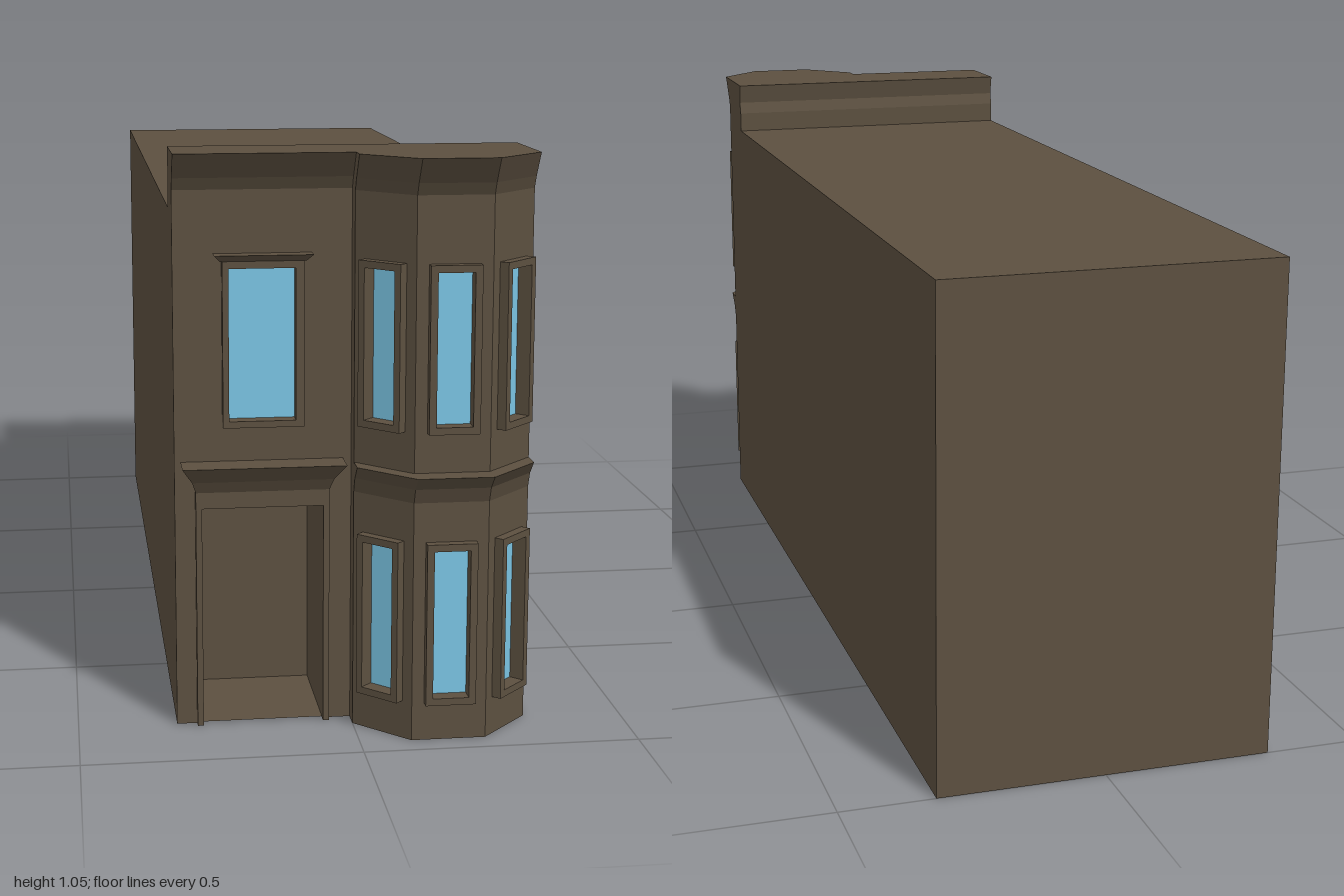
import * as THREE from 'three';

const stone = new THREE.MeshStandardMaterial({ color: 0x5c5040 });
const glass = new THREE.MeshStandardMaterial({ color: 0x7ac3e2 });
const W = 0.32, BACK = -1, ROOF = 0.94, TOP = 1.05, WALL_Z = 0.825;

// front outline on the ground, left to right: flat wall, then the bay
const front = [[-W, WALL_Z], [0, WALL_Z], [0, 0.86], [0.093, 0.955], [0.228, 0.955], [W, 0.86]];
// moulding profiles: [forward offset, height]
const topCornice = [[0, 0.983], [0.012, 1.005], [0.045, TOP]];
const midCornice = [[0, 0.44], [0.013, 0.468], [0.041, 0.494], [0, 0.494]];
const parapetBack = [[0.717, ROOF], [0.716, 0.983], [0.724, 1.008], [0.715, TOP]];

function mesh(name, geometry, material = stone) {
  const m = new THREE.Mesh(geometry, material);
  m.name = name;
  return m;
}

const shapeOf = (pts) => new THREE.Shape(pts.map(([x, y]) => new THREE.Vector2(x, y)));
const rect = (x0, y0, x1, y1) => [[x0, y0], [x1, y0], [x1, y1], [x0, y1]];

function holed(outer, holes) {
  const s = shapeOf(outer);
  holes.forEach((h) => s.holes.push(shapeOf(h)));
  return s;
}

// flat-shaded skin over rows of points, rows bottom to top, columns left to right
function loft(name, rows) {
  const pos = [];
  for (let i = 0; i < rows.length - 1; i++) {
    for (let j = 0; j < rows[i].length - 1; j++) {
      const a = rows[i][j], b = rows[i][j + 1], c = rows[i + 1][j + 1], d = rows[i + 1][j];
      pos.push(...a, ...b, ...c, ...a, ...c, ...d);
    }
  }
  const g = new THREE.BufferGeometry();
  g.setAttribute('position', new THREE.Float32BufferAttribute(pos, 3));
  g.computeVertexNormals();
  return mesh(name, g);
}

// moulding that pushes a ground path forward along a profile
const moulding = (name, path, profile) =>
  loft(name, profile.map(([d, y]) => path.map(([x, z]) => [x, y, z + d])));

// three-sided hood on the flat wall; profile: [sideways, forward, height]
function hood(name, x0, x1, z, profile) {
  const rows = profile.map(([s, d, y]) => [
    [x0 - s, y, WALL_Z], [x0 - s, y, z + d], [x1 + s, y, z + d], [x1 + s, y, WALL_Z]]);
  const last = profile[profile.length - 1];
  rows.push([x0 - last[0], x0 - last[0], x1 + last[0], x1 + last[0]].map((x) => [x, last[2], WALL_Z]));
  const first = rows[0].map(([x, y]) => [x, y, WALL_Z]);
  return loft(name, [first, ...rows]);
}

// raised frame lining its opening, with the pane set behind the wall
function windowUnit(outer, inner) {
  const g = new THREE.Group();
  g.name = 'window';
  const frame = new THREE.ExtrudeGeometry(holed(rect(...outer), [rect(...inner)]), { depth: 0.029, bevelEnabled: false });
  g.add(mesh('windowFrame', frame.translate(0, 0, -0.011)));
  const pane = new THREE.ShapeGeometry(shapeOf(rect(...inner)));
  g.add(mesh('windowPane', pane.translate(0, 0, -0.01), glass));
  return g;
}

// wall from a to b on the ground, facing outward, with windows and extra openings
function wall(name, a, b, height, windows = [], door = null) {
  const dx = b[0] - a[0], dz = b[1] - a[1], len = Math.hypot(dx, dz);
  const g = new THREE.Group();
  g.name = name;
  const outline = door
    ? [[0, 0], [door[0], 0], [door[0], door[2]], [door[1], door[2]], [door[1], 0], [len, 0], [len, height], [0, height]]
    : rect(0, 0, len, height);
  const holes = windows.map((w) => rect(...w.inner));
  g.add(mesh(name + 'Face', new THREE.ShapeGeometry(holed(outline, holes))));
  windows.forEach((w) => g.add(windowUnit(w.outer, w.inner)));
  g.position.set(a[0], 0, a[1]);
  g.rotation.y = -Math.atan2(dz, dx);
  return g;
}

// horizontal face from [x, z] points; up = 1 faces up, -1 faces down
function slab(name, pts, y, up) {
  const m = mesh(name, new THREE.ShapeGeometry(shapeOf(pts.map(([x, z]) => [x, -up * z]))));
  m.rotation.x = -up * Math.PI / 2;
  m.position.y = y;
  return m;
}

// side of the house from its [z, y] outline; s = 1 for +x, -1 for -x
function sideWall(name, pts, s) {
  const m = mesh(name, new THREE.ShapeGeometry(shapeOf(pts.map(([z, y]) => [-s * z, y]))));
  m.rotation.y = s * Math.PI / 2;
  m.position.x = s * W;
  return m;
}

export function createModel() {
  const model = new THREE.Group();
  model.name = 'rowHouse';

  // long body: sides, back, base and roof
  const rear = [...parapetBack].reverse();
  const sideOutline = (z, mid) => [[BACK, 0], [z, 0], ...mid.map(([d, y]) => [z + d, y]),
    ...topCornice.map(([d, y]) => [z + d, y]), ...rear, [BACK, ROOF]];
  model.add(sideWall('leftSideWall', sideOutline(0.86, midCornice), 1));
  model.add(sideWall('rightSideWall', sideOutline(WALL_Z, []), -1));
  model.add(wall('backWall', [W, BACK], [-W, BACK], ROOF));
  model.add(slab('base', [[-W, BACK], ...front, [W, BACK]], 0, -1));
  model.add(slab('roof', rect(-W, BACK, W, parapetBack[0][0]), ROOF, 1));

  // parapet and cornices
  model.add(loft('parapetBack', parapetBack.map(([z, y]) => [[W, y, z], [-W, y, z]])));
  model.add(slab('parapetTop', [[-W, 0.715], ...front.map(([x, z]) => [x, z + 0.045]), [W, 0.715]], TOP, 1));
  model.add(moulding('topCornice', front, topCornice));
  model.add(moulding('bayCornice', front.slice(1), midCornice));

  // flat front wall with its window and door opening
  const doorL = -0.272, doorR = -0.052, doorH = 0.41, recessZ = 0.605;
  model.add(wall('frontWall', front[0], front[1], 0.983,
    [{ outer: [W - 0.233, 0.558, W - 0.087, 0.858], inner: [W - 0.222, 0.57, W - 0.102, 0.845] }],
    [W + doorL, W + doorR, doorH]));
  model.add(hood('windowHood', -0.237, -0.083, 0.843, [[0, 0, 0.858], [0.011, 0.014, 0.87]]));

  // deep entrance recess
  const recess = new THREE.Group();
  recess.name = 'entrance';
  recess.add(wall('rightJamb', [doorL, WALL_Z], [doorL, recessZ], doorH));
  recess.add(wall('door', [doorL, recessZ], [doorR, recessZ], doorH));
  recess.add(wall('leftJamb', [doorR, recessZ], [doorR, WALL_Z], doorH));
  recess.add(slab('entranceFloor', rect(doorL, recessZ, doorR, WALL_Z), 0.002, 1));
  recess.add(slab('entranceCeiling', rect(doorL, recessZ, doorR, WALL_Z), doorH, -1));
  const surround = shapeOf([[-0.283, 0], [doorL, 0], [doorL, doorH], [doorR, doorH], [doorR, 0],
    [-0.041, 0], [-0.041, 0.44], [-0.283, 0.44]]);
  const trim = mesh('doorSurround', new THREE.ExtrudeGeometry(surround, { depth: 0.015, bevelEnabled: false }));
  trim.position.z = WALL_Z;
  recess.add(trim);
  recess.add(hood('doorHood', -0.283, -0.041, 0.84, [[0, 0, 0.44], [0.007, 0.013, 0.462], [0.026, 0.045, 0.494]]));
  model.add(recess);

  // bay walls: a narrow return, then three faces with two windows each
  model.add(wall('bayReturn', front[1], front[2], 0.983));
  for (let i = 2; i < 5; i++) {
    const [a, b] = [front[i], front[i + 1]];
    const c = Math.hypot(b[0] - a[0], b[1] - a[1]) / 2;
    const windows = [0.07, 0.566].map((y) => ({
      outer: [c - 0.0455, y, c + 0.0455, y + 0.298],
      inner: [c - 0.0325, y + 0.013, c + 0.0325, y + 0.285],
    }));
    model.add(wall('bayWall', a, b, 0.983, windows));
  }
  return model;
}
